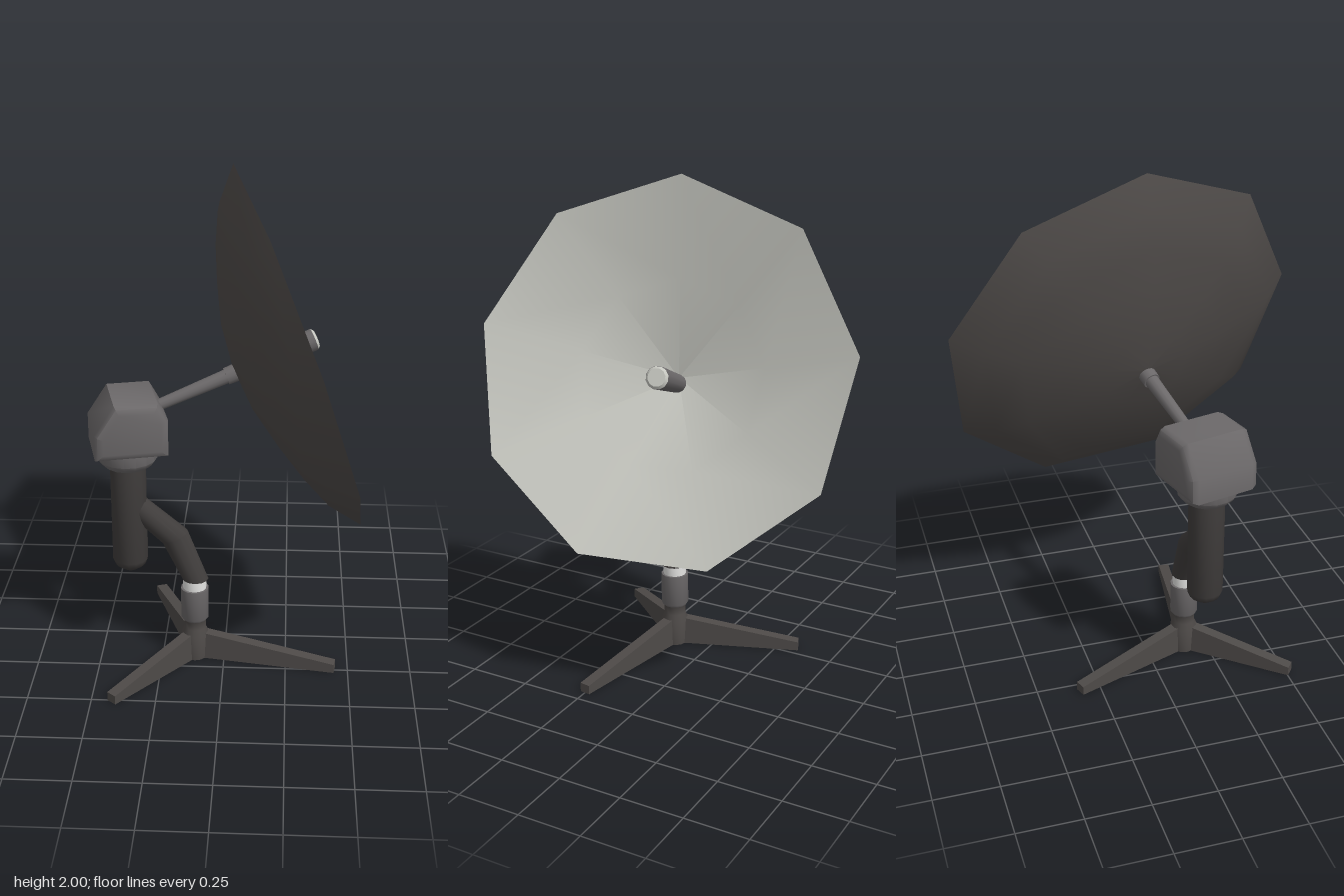
import * as THREE from 'three';
import { toCreasedNormals } from 'three/addons/utils/BufferGeometryUtils.js';

const mat = (name, color) => {
  const m = new THREE.MeshStandardMaterial({ color });
  m.name = name;
  return m;
};
const V = (x, y, z) => new THREE.Vector3(x, y, z);
const points = list => list.map(p => new THREE.Vector2(...p));

export function createModel() {
  const model = new THREE.Group();
  model.name = 'dishAntenna';
  const dark = mat('dark metal', 0x4e4a48);
  const post = mat('post charcoal', 0x403d3c);
  const grey = mat('housing grey', 0x6c696a);
  const light = mat('dish light grey', 0xc6c7c0);
  const white = mat('collar white', 0xe4e4e2);

  const add = (name, geo, material, parent = model) => {
    const mesh = new THREE.Mesh(geo, material);
    mesh.name = name;
    parent.add(mesh);
    return mesh;
  };
  // Turned part standing upright at x, z; profile is [radius, height] from bottom to top
  const turned = (name, profile, sides, material, x, z) => {
    const geo = new THREE.LatheGeometry(points(profile), sides);
    const mesh = add(name, toCreasedNormals(geo, 0.7), material);
    mesh.position.set(x, 0, z);
  };
  // Round bar between two points
  const bar = (name, a, b, ra, rb, material) => {
    const mesh = add(name, new THREE.CylinderGeometry(rb, ra, a.distanceTo(b), 12), material);
    mesh.position.copy(a).lerp(b, 0.5);
    mesh.quaternion.setFromUnitVectors(V(0, 1, 0), b.clone().sub(a).normalize());
  };

  // Tripod legs, each a tapering wedge running out from the hub
  const hubX = -0.118, hubZ = 0.157;
  for (const [x, z] of [[0.447, 0.25], [-0.3, -0.335], [-0.42, 0.515]]) {
    const len = Math.hypot(x - hubX, z - hubZ);
    const side = new THREE.Shape(points([[0, 0], [len, 0], [len, 0.037], [0.05, 0.115], [0, 0.12]]));
    const geo = new THREE.ExtrudeGeometry(side, { depth: 0.044, bevelEnabled: false });
    geo.translate(0, 0, -0.022);
    const leg = add('tripodLeg', geo, dark);
    leg.position.set(hubX, 0, hubZ);
    leg.rotation.y = -Math.atan2(z - hubZ, x - hubX);
  }

  // Hub, clamp and collar
  turned('tripodHub', [[0, 0], [0.05, 0], [0.055, 0.11], [0.044, 0.135], [0.044, 0.165], [0.05, 0.18]], 12, dark, hubX, hubZ);
  turned('clamp', [[0, 0.175], [0.05, 0.175], [0.056, 0.185], [0.056, 0.315], [0, 0.315]], 14, grey, hubX, hubZ);
  turned('collar', [[0.047, 0.31], [0.047, 0.365], [0, 0.365]], 14, white, hubX, hubZ);

  // Bent neck: three rings, each with a centre and a half-width vector in the x-y plane
  const rings = [
    { c: [-0.115, 0.355], u: [0.052, 0] },
    { c: [-0.195, 0.542], u: [0.052, 0.024] },
    { c: [-0.36, 0.69], u: [0.028, 0.035] }
  ];
  const neckGeo = new THREE.CylinderGeometry(1, 1, 2, 12, 2);
  const pos = neckGeo.attributes.position;
  for (let i = 0; i < pos.count; i++) {
    const { c, u } = rings[Math.round(pos.getY(i)) + 1];
    const s = pos.getX(i);
    pos.setXYZ(i, c[0] + s * u[0], c[1] + s * u[1], hubZ + 0.05 * pos.getZ(i));
  }
  add('neck', toCreasedNormals(neckGeo, 0.6), post);

  // Main post and swivel
  const postX = -0.373, postZ = 0.155;
  turned('post', [[0, 0.39], [0.025, 0.395], [0.06, 0.42], [0.07, 0.445], [0.07, 0.87]], 14, post, postX, postZ);
  turned('swivelRing', [[0, 0.853], [0.09, 0.853], [0.103, 0.865], [0.115, 0.882], [0.115, 0.935]], 16, grey, postX, postZ);

  // Motor housing with a sloped back and softened corners
  const b = 0.03;
  const outline = new THREE.Shape(points(
    [[-0.142, 0.923], [0.138, 0.923], [0.138, 1.07], [0.1, 1.14], [-0.065, 1.14], [-0.142, 1.025]]));
  const housingGeo = new THREE.ExtrudeGeometry(outline, {
    depth: 0.294 - 2 * b, bevelEnabled: true, bevelThickness: b, bevelSize: b, bevelOffset: -b, bevelSegments: 2
  });
  housingGeo.translate(0, 0, -0.147 + b);
  const housing = add('motorHousing', toCreasedNormals(housingGeo, 0.85), grey);
  housing.position.set(-0.37, 0, 0.146);
  housing.rotation.y = 0.24;

  // Support rod behind the dish, feed horn in front
  const rodA = V(-0.27, 1.078, 0.122), tip = V(0.337, 1.308, -0.029);
  const at = t => rodA.clone().lerp(tip, t);
  bar('supportRod', rodA, at(0.5), 0.022, 0.029, grey);
  bar('feedHorn', at(0.45), tip, 0.034, 0.044, grey);
  bar('feedCap', tip, at(1.015), 0.043, 0.034, light);

  // Nine-sided dish: rounded dark shell outside, straight light cone inside
  const dish = new THREE.Group();
  dish.name = 'dish';
  const axis = V(0.93, 0.32, -0.18).normalize();
  const up = V(-0.319, 0.946, 0.054);
  up.addScaledVector(axis, -up.dot(axis)).normalize();
  dish.quaternion.setFromRotationMatrix(new THREE.Matrix4().makeBasis(axis.clone().cross(up), axis, up));
  dish.position.set(0.262, 1.297, 0);
  model.add(dish);
  const bowl = profile => new THREE.LatheGeometry(points(profile), 9);
  add('dishShell', bowl([[0, -0.252], [0.18, -0.236], [0.35, -0.192], [0.5, -0.145], [0.63, -0.09], [0.742, 0]]), dark, dish);
  add('dishBowl', bowl([[0.742, 0], [0.37, -0.115], [0, -0.23]]), light, dish);

  return model;
}
